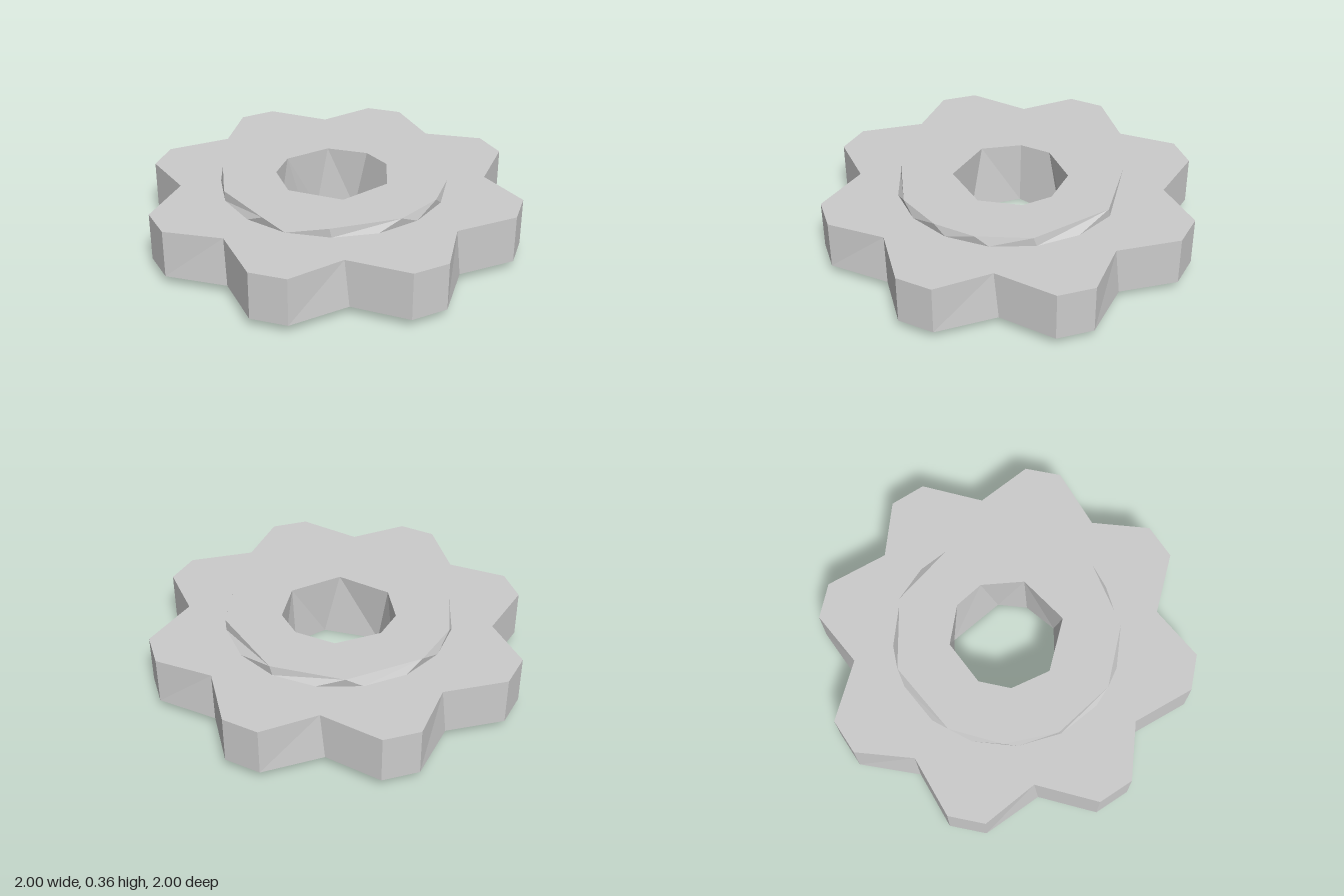
import * as THREE from 'three';

const material = new THREE.MeshStandardMaterial({ color: 0xcccccc, flatShading: true });

// Ring point from an angle in degrees (0 = +x, 90 = +z), radius and height.
const polar = (deg, r, y) => {
  const a = THREE.MathUtils.degToRad(deg);
  return { deg, p: new THREE.Vector3(r * Math.cos(a), y, r * Math.sin(a)) };
};

// Polygon ring at one height, sorted by angle.
const ring = (angles, r, y) =>
  angles.map(d => polar((d + 360) % 360, r, y)).sort((a, b) => a.deg - b.deg);

// Outline of eight blunt teeth; the valleys shift slightly between the faces.
function toothRing(y, valleyAngle, valleyRadius) {
  const points = [];
  for (let i = 0; i < 8; i++) {
    const a = i * 45 + 45;
    points.push(polar(a + valleyAngle, valleyRadius, y));
    points.push(polar(a + 11.3, 1.018, y), polar(a + 22.5, 1.018, y));
  }
  return points;
}

// Wall of triangles between two rings that may have different corner counts.
function wall(name, lower, upper, inward = false) {
  const at = (list, i) => list[i % list.length].p;
  const angle = (list, i) => list[i % list.length].deg + 360 * Math.floor(i / list.length);
  const verts = [];
  let i = 0, j = 0;
  while (i < lower.length || j < upper.length) {
    const stepLower = j >= upper.length ||
      (i < lower.length && angle(lower, i + 1) <= angle(upper, j + 1));
    const a = at(lower, i), b = at(upper, j);
    const c = stepLower ? at(lower, ++i) : at(upper, ++j);
    for (const v of inward ? [a, c, b] : [a, b, c]) verts.push(v.x, v.y, v.z);
  }
  const geometry = new THREE.BufferGeometry();
  geometry.setAttribute('position', new THREE.Float32BufferAttribute(verts, 3));
  geometry.computeVertexNormals();
  const mesh = new THREE.Mesh(geometry, material);
  mesh.name = name;
  return mesh;
}

// Flat face between an outer ring and a hole, facing up or down.
function face(name, outer, hole, up) {
  const s = up ? -1 : 1;
  const flat = list => list.map(({ p }) => new THREE.Vector2(p.x, s * p.z));
  const shape = new THREE.Shape(flat(outer));
  shape.holes.push(new THREE.Path(flat(hole)));
  const geometry = new THREE.ShapeGeometry(shape);
  geometry.rotateX(s * Math.PI / 2);
  geometry.translate(0, outer[0].p.y, 0);
  const mesh = new THREE.Mesh(geometry, material);
  mesh.name = name;
  return mesh;
}

export function createModel() {
  const group = new THREE.Group();
  group.name = 'gear';
  const bottom = 0, low = 0.05, high = 0.31, top = 0.36;

  // Toothed disc
  const teethLow = toothRing(low, -6.2, 0.835);
  const teethHigh = toothRing(high, -4.5, 0.823);
  const round = Array.from({ length: 16 }, (_, i) => i * 22.5);
  const seamLow = ring(round, 0.61, low);
  const seamHigh = ring(round, 0.61, high);
  const disc = new THREE.Group();
  disc.name = 'toothedDisc';
  disc.add(
    wall('toothWall', teethLow, teethHigh),
    face('discTop', teethHigh, seamHigh, true),
    face('discBottom', teethLow, seamLow, false)
  );

  // Raised hub with coarser, uneven rims
  const hubTop = ring([10, 46, 80, 114, 142, 170, 211, 249, 294, 322, 344], 0.61, top);
  const hubBottom = ring([27, 65, 110, 144, 197, 227, 267, 308, 347], 0.61, bottom);
  const boreTop = ring([35, 94, 136, 169, 218, 261, 293, 338], 0.31, top);
  const boreBottom = ring([19, 80, 135, 190, 206, 247, 311, 342], 0.31, bottom);
  const hub = new THREE.Group();
  hub.name = 'hub';
  hub.add(
    wall('hubUpperRim', seamHigh, hubTop),
    wall('hubLowerRim', hubBottom, seamLow),
    face('hubTop', hubTop, boreTop, true),
    face('hubBottom', hubBottom, boreBottom, false),
    wall('bore', boreBottom, boreTop, true)
  );

  group.add(disc, hub);
  return group;
}
